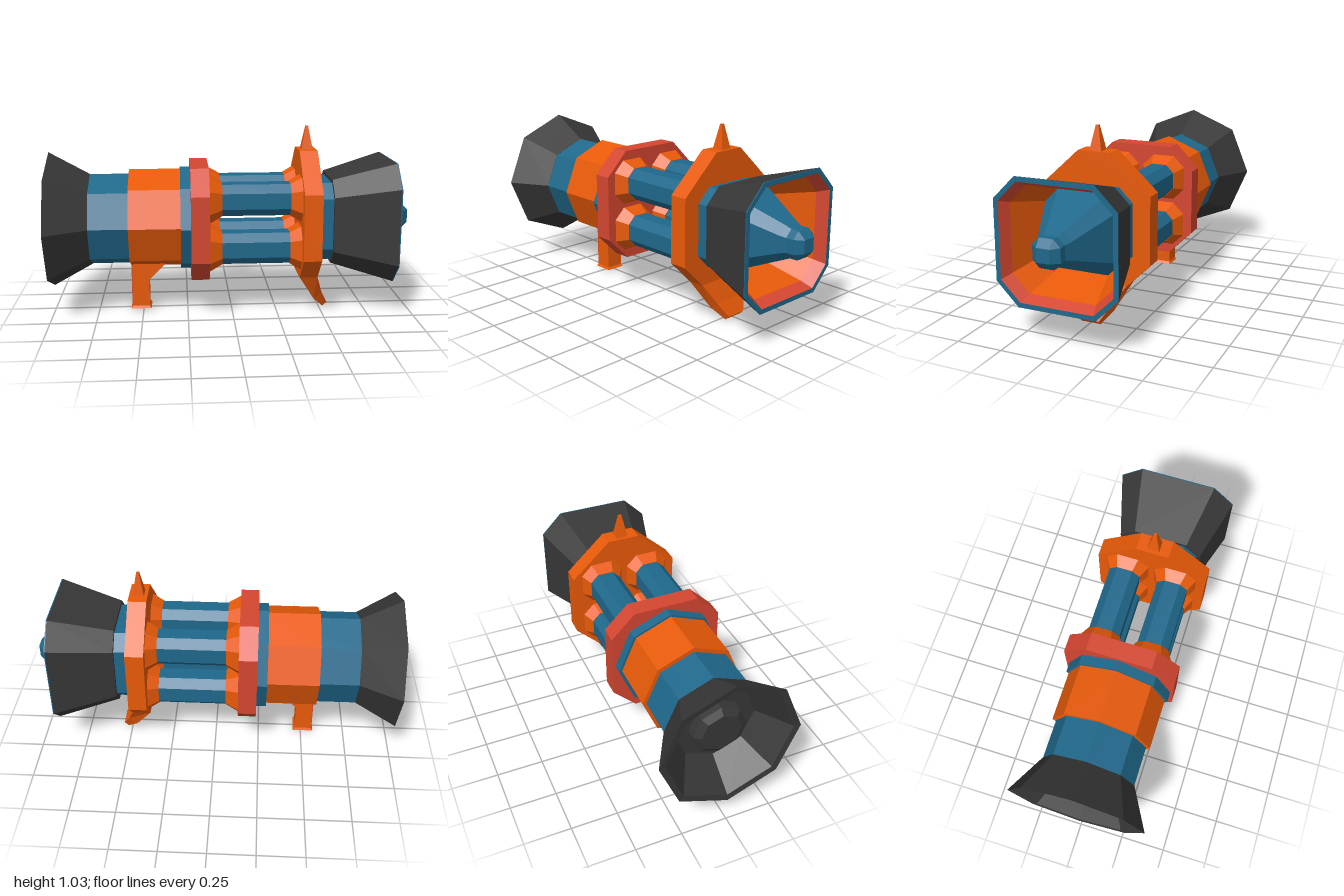
import * as THREE from 'three';

const AXIS = 0.52; // height of the main axis

// Octagon across x: half width hw, half length of the flat side cut
function oct(x, hw, cut, cy = AXIS, cz = 0) {
  return [[hw, cut], [cut, hw], [-cut, hw], [-hw, cut], [-hw, -cut], [-cut, -hw], [cut, -hw], [hw, -cut]]
    .map(([y, z]) => [x, cy + y, cz + z]);
}

// Regular octagon with a corner pointing up
function point8(x, r, cy = AXIS) {
  return Array.from({ length: 8 }, (_, i) => {
    const a = (i * Math.PI) / 4;
    return [x, cy + r * Math.cos(a), r * Math.sin(a)];
  });
}

// Four-cornered section for parts running downwards
const quad = (xf, yf, xb, yb, hw) => [[xf, yf, hw], [xb, yb, hw], [xb, yb, -hw], [xf, yf, -hw]];

// Skin a row of equal-sized loops, with optional end caps
function loft(loops, capStart = true, capEnd = true) {
  const pos = [];
  const tri = (a, b, c) => pos.push(...a, ...b, ...c);
  const n = loops[0].length;
  for (let s = 0; s + 1 < loops.length; s++) {
    const a = loops[s], b = loops[s + 1];
    for (let i = 0; i < n; i++) {
      const j = (i + 1) % n;
      tri(a[i], a[j], b[j]);
      tri(a[i], b[j], b[i]);
    }
  }
  const first = loops[0], last = loops[loops.length - 1];
  for (let i = 1; i + 1 < n; i++) {
    if (capStart) tri(first[0], first[i + 1], first[i]);
    if (capEnd) tri(last[0], last[i], last[i + 1]);
  }
  const g = new THREE.BufferGeometry();
  g.setAttribute('position', new THREE.Float32BufferAttribute(pos, 3));
  g.computeVertexNormals();
  return g;
}

export function createModel() {
  const model = new THREE.Group();
  const material = (name, color) => {
    const m = new THREE.MeshStandardMaterial({ color, flatShading: true });
    m.name = name;
    return m;
  };
  const blue = material('blue', 0x1f688b);
  const orange = material('orange', 0xe85a08);
  const red = material('red', 0xd44630);
  const dark = material('charcoal', 0x373737);
  const add = (name, geometry, mat, parent = model) => {
    const mesh = new THREE.Mesh(geometry, mat);
    mesh.name = name;
    parent.add(mesh);
    return mesh;
  };

  // Rear exhaust horn: inside floor, inner wall, lip, outer wall
  add('rearHorn', loft([point8(-0.82, 0.22), point8(-0.995, 0.345), point8(-1, 0.38), point8(-0.78, 0.257)]), dark);
  add('rearKnob', loft([point8(-0.9, 0.11), point8(-0.875, 0.145), point8(-0.8, 0.145)]), dark);

  // Rear body
  add('rearBody', loft([point8(-0.785, 0.256), point8(-0.23, 0.256)]), blue);
  add('bodyBand', loft([point8(-0.565, 0.277, 0.524), point8(-0.285, 0.277, 0.524)]), orange);
  add('bodyCollar', loft([point8(-0.285, 0.293), point8(-0.22, 0.293)]), blue);
  add('rearPlate', loft([oct(-0.23, 0.31, 0.18), oct(-0.13, 0.31, 0.18)]), red);

  // Grip with gusset and flared foot
  const grip = new THREE.Group();
  grip.name = 'grip';
  model.add(grip);
  const side = new THREE.Shape([[-0.56, 0.3], [-0.56, 0.015], [-0.465, 0.015], [-0.465, 0.175], [-0.375, 0.265], [-0.375, 0.3]]
    .map(([x, y]) => new THREE.Vector2(x, y)));
  add('gripPost', new THREE.ExtrudeGeometry(side, { depth: 0.1, bevelEnabled: false }).translate(0, 0, -0.05), orange, grip);
  add('gripFoot', loft([
    quad(-0.465, 0.022, -0.56, 0.022, 0.05),
    quad(-0.455, 0.008, -0.57, 0.008, 0.057),
  ]), orange, grip);
  add('gripBackFace', new THREE.BoxGeometry(0.004, 0.25, 0.1).translate(-0.562, 0.147, 0), red, grip);

  // Four barrels with flared sockets at both ends
  for (const sy of [1, -1]) for (const sz of [1, -1]) {
    const barrel = new THREE.Group();
    barrel.name = 'barrel';
    model.add(barrel);
    const ring = (x, hw) => oct(x, hw, hw * 0.5, AXIS + sy * 0.135, sz * 0.138);
    add('barrelTube', loft([ring(-0.06, 0.086), ring(0.31, 0.086)]), blue, barrel);
    add('rearSocket', loft([ring(-0.132, 0.125), ring(-0.06, 0.088)]), orange, barrel);
    add('frontSocket', loft([ring(0.31, 0.088), ring(0.372, 0.122)]), orange, barrel);
  }

  // Front plate with top spike and swept lower fin
  const plate = (x) => [[0.905, 0.09], [0.703, 0.31], [0.34, 0.31], [0.21, 0.18], [0.21, -0.18], [0.34, -0.31], [0.703, -0.31], [0.905, -0.09]]
    .map(([y, z]) => [x, y, z]);
  add('frontPlate', loft([plate(0.37), plate(0.47)]), orange);
  add('spike', loft([quad(0.427, 1.033, 0.413, 1.033, 0.008), quad(0.452, 0.9, 0.388, 0.9, 0.034)]), orange);
  add('lowerFin', loft([
    quad(0.47, 0.212, 0.37, 0.212, 0.18),
    quad(0.508, 0.1, 0.463, 0.062, 0.106),
    quad(0.548, 0.022, 0.523, 0, 0.057),
  ]), orange);

  // Front horn: outer shell, rim, two-colour lining
  add('frontCollar', loft([oct(0.465, 0.215, 0.14), oct(0.55, 0.215, 0.14)]), blue);
  add('frontHorn', loft([oct(0.545, 0.235, 0.15), oct(0.883, 0.33, 0.21)], true, false), dark);
  add('hornRim', loft([oct(0.883, 0.33, 0.21), oct(0.888, 0.33, 0.21), oct(0.888, 0.305, 0.2)], false, false), blue);
  add('liningRim', loft([oct(0.888, 0.305, 0.2), oct(0.825, 0.277, 0.182)], false, false), red);
  add('lining', loft([oct(0.825, 0.277, 0.182), oct(0.6, 0.21, 0.138)], false, false), orange);

  // Blue core cone with a blunt nose
  add('coreCone', loft([oct(0.6, 0.21, 0.138), oct(0.885, 0.09, 0.046), oct(0.92, 0.075, 0.038)], true, false), blue);
  add('nose', loft([oct(0.92, 0.075, 0.038), oct(0.963, 0.075, 0.038), oct(1, 0.036, 0.034)], false, true), blue);

  return model;
}
